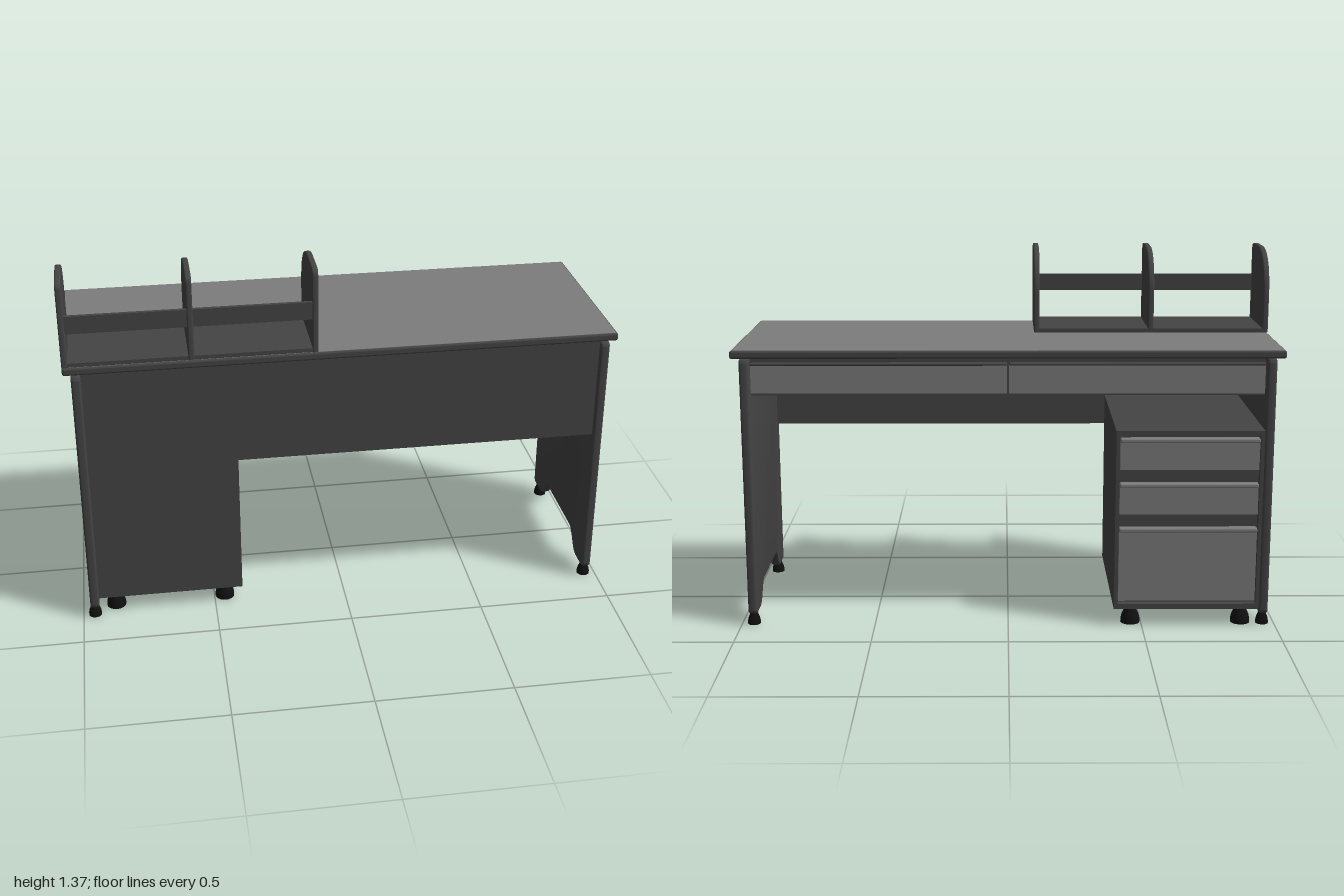
import * as THREE from 'three';
import { RoundedBoxGeometry } from 'three/addons/geometries/RoundedBoxGeometry.js';
import { toCreasedNormals } from 'three/addons/utils/BufferGeometryUtils.js';

const mat = (color) => new THREE.MeshStandardMaterial({ color });

export function createModel() {
  const desk = new THREE.Group();
  desk.name = 'desk';
  const dark = mat(0x444444);
  const light = mat(0x7c7c7c);
  const rubber = mat(0x111111);

  const add = (name, geometry, material, parent = desk) => {
    const mesh = new THREE.Mesh(geometry, material);
    mesh.name = name;
    parent.add(mesh);
    return mesh;
  };

  // Box given by its limits on each axis; r rounds its edges
  const box = (name, [x0, x1], [y0, y1], [z0, z1], material, parent, r = 0) => {
    const size = [x1 - x0, y1 - y0, z1 - z0];
    const geo = r ? new RoundedBoxGeometry(...size, 3, r) : new THREE.BoxGeometry(...size);
    const mesh = add(name, geo, material, parent);
    mesh.position.set((x0 + x1) / 2, (y0 + y1) / 2, (z0 + z1) / 2);
    return mesh;
  };

  // Upright panel from a (-z, y) outline, bevelled on both faces, from x0 to x1
  const panel = (name, shape, x0, x1, bevel, parent) => {
    const geo = new THREE.ExtrudeGeometry(shape, {
      depth: x1 - x0 - 2 * bevel,
      bevelThickness: bevel, bevelSize: bevel, bevelOffset: -bevel, bevelSegments: 3,
      curveSegments: 12,
    });
    geo.rotateY(Math.PI / 2);
    const mesh = add(name, toCreasedNormals(geo, 0.6), dark, parent);
    mesh.position.x = x0 + bevel;
    return mesh;
  };

  // Tapered foot with a wide, rounded base
  const foot = (name, x, z, r, h, parent) => {
    const profile = [
      [0, 0], [r, 0], [r, h * 0.2], [r * 0.9, h * 0.45],
      [r * 0.65, h * 0.75], [r * 0.55, h], [0, h],
    ].map(([a, b]) => new THREE.Vector2(a, b));
    add(name, toCreasedNormals(new THREE.LatheGeometry(profile, 20), 0.6), rubber, parent)
      .position.set(x, 0, z);
  };

  // Desktop: dark edged slab with a lighter work surface
  box('desktopSlab', [-1, 1], [1.02, 1.049], [-0.36, 0.36], dark, desk, 0.008);
  box('workSurface', [-0.993, 0.993], [1.04, 1.05], [-0.353, 0.353], light, desk);

  // Side panels with a curved cut-out at the floor
  const side = new THREE.Shape();
  side.moveTo(-0.34, 0.045);
  side.lineTo(-0.27, 0.045);
  side.bezierCurveTo(-0.22, 0.045, -0.21, 0.125, -0.165, 0.125);
  side.lineTo(0.14, 0.125);
  side.bezierCurveTo(0.185, 0.125, 0.195, 0.045, 0.245, 0.045);
  side.lineTo(0.315, 0.045);
  side.quadraticCurveTo(0.335, 0.045, 0.335, 0.065);
  side.lineTo(0.335, 0.995);
  side.quadraticCurveTo(0.335, 1.015, 0.315, 1.015);
  side.lineTo(-0.34, 1.015);
  side.quadraticCurveTo(-0.36, 1.015, -0.36, 0.995);
  side.lineTo(-0.36, 0.065);
  side.quadraticCurveTo(-0.36, 0.045, -0.34, 0.045);
  for (const s of [-1, 1]) {
    const [x0, x1] = s < 0 ? [-0.972, -0.938] : [0.938, 0.972];
    panel('sidePanel', side, x0, x1, 0.008, desk);
    box('topSpacer', [x0 + 0.008, x1 - 0.008], [1.01, 1.022], [-0.31, 0.33], dark);
    for (const z of [0.325, -0.3]) foot('sideFoot', s * 0.956, z, 0.024, 0.05, desk);
  }

  // Modesty panel
  box('modestyPanel', [-0.94, 0.94], [0.63, 1.02], [0.324, 0.342], dark);

  // Wide drawers beneath the desktop
  const tray = new THREE.Group();
  tray.name = 'deskDrawers';
  desk.add(tray);
  box('trayBody', [-0.94, 0.94], [0.872, 1.015], [-0.285, 0.324], dark, tray);
  for (const [x0, x1] of [[-0.936, -0.004], [0.004, 0.936]]) {
    box('deskDrawerFront', [x0, x1], [0.882, 0.985], [-0.3, -0.28], light, tray);
    box('deskDrawerLip', [x0, x1], [0.985, 0.995], [-0.306, -0.28], dark, tray, 0.004);
  }

  // Drawer cabinet on feet
  const cabinet = new THREE.Group();
  cabinet.name = 'drawerCabinet';
  desk.add(cabinet);
  const left = -0.938, right = -0.395;
  box('cabinetBody', [left, right], [0.065, 0.748], [-0.305, 0.32], dark, cabinet);
  for (const [x0, x1] of [[left, left + 0.014], [right - 0.014, right]])
    box('cabinetSideEdge', [x0, x1], [0.065, 0.748], [-0.332, -0.305], dark, cabinet);
  for (const [y0, y1] of [[0.065, 0.085], [0.732, 0.748]])
    box('cabinetRail', [left, right], [y0, y1], [-0.332, -0.305], dark, cabinet);
  for (const [y0, y1] of [[0.095, 0.375], [0.43, 0.545], [0.6, 0.715]]) {
    box('cabinetDrawerFront', [left + 0.016, right - 0.016], [y0, y1], [-0.325, -0.3], light, cabinet);
    box('drawerHandle', [left + 0.016, right - 0.016], [y1 - 0.012, y1 + 0.004], [-0.336, -0.3], light, cabinet, 0.005);
  }
  for (const x of [-0.875, -0.46])
    for (const z of [0.27, -0.288]) foot('cabinetFoot', x, z, 0.036, 0.068, cabinet);

  // Bookshelf on the desktop: three rounded dividers, base and back rail
  const shelf = new THREE.Group();
  shelf.name = 'bookshelf';
  desk.add(shelf);
  const divider = new THREE.Shape();
  divider.moveTo(-0.355, 1.05);
  divider.lineTo(-0.047, 1.05);
  divider.lineTo(-0.047, 1.19);
  divider.bezierCurveTo(-0.047, 1.3, -0.11, 1.365, -0.22, 1.365);
  divider.lineTo(-0.325, 1.365);
  divider.quadraticCurveTo(-0.355, 1.365, -0.355, 1.335);
  divider.lineTo(-0.355, 1.05);
  for (const x of [-1, -0.56, -0.122]) panel('shelfDivider', divider, x, x + 0.021, 0.004, shelf);
  box('shelfBase', [-0.985, -0.115], [1.05, 1.065], [0.047, 0.352], dark, shelf);
  box('shelfRail', [-0.985, -0.115], [1.175, 1.24], [0.336, 0.35], dark, shelf);

  return desk;
}
